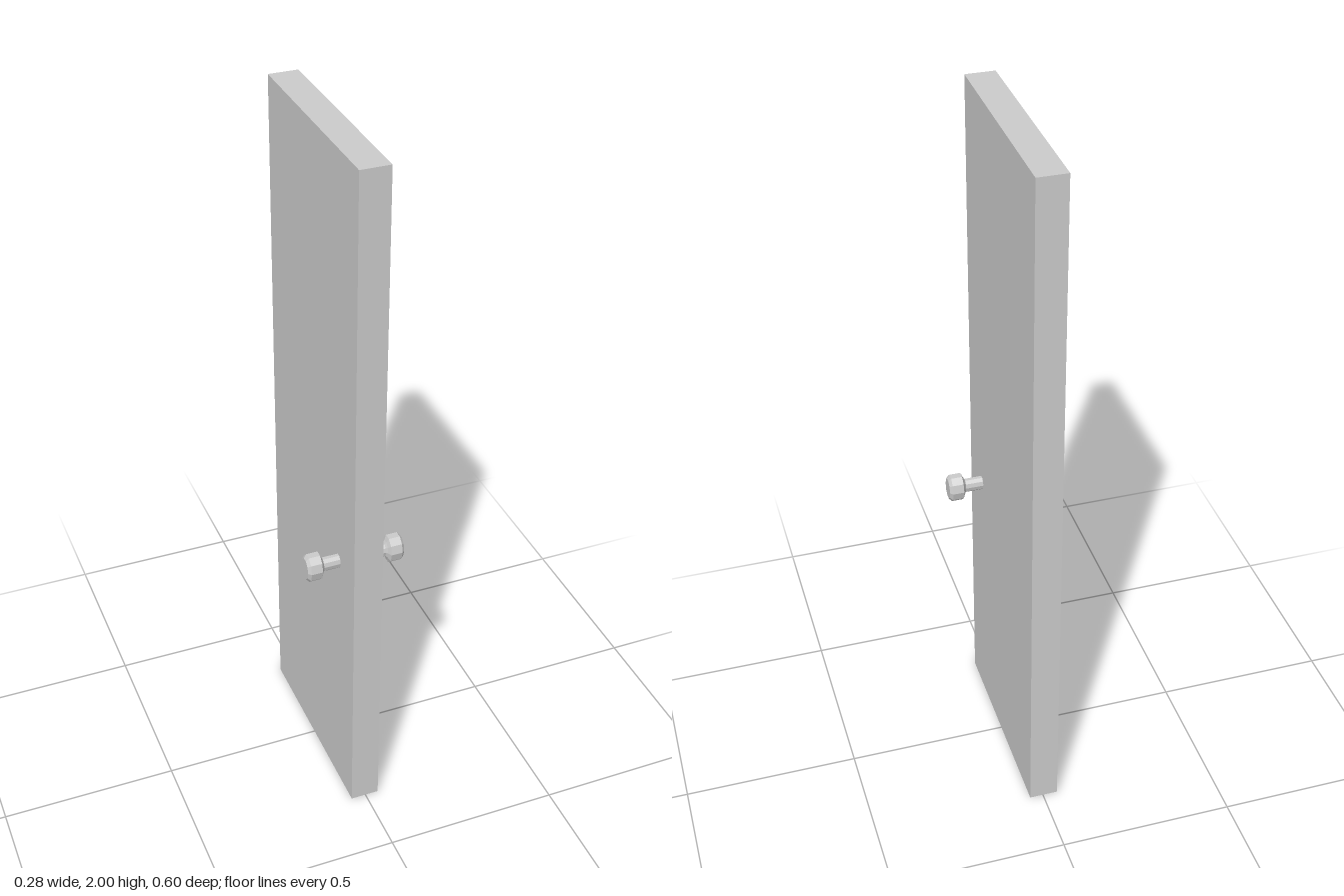
import * as THREE from 'three';

export function createModel() {
  const group = new THREE.Group();
  const material = new THREE.MeshStandardMaterial({
    color: 0xcccccc, flatShading: true, side: THREE.DoubleSide,
  });

  // Door panel: a thin box left open underneath
  const panelGeometry = new THREE.BoxGeometry(0.082, 2, 0.602);
  const index = Array.from(panelGeometry.index.array);
  index.splice(18, 6); // drop the bottom face
  panelGeometry.setIndex(index);
  panelGeometry.clearGroups();
  const panel = new THREE.Mesh(panelGeometry, material);
  panel.name = 'doorPanel';
  panel.position.set(-0.002, 1, 0);
  group.add(panel);

  // Knob with its stem: radius and distance from the panel's centre
  const profile = [
    [0.0165, 0.03], [0.0165, 0.09], [0.022, 0.094], [0.033, 0.1],
    [0.033, 0.132], [0.025, 0.14], [0, 0.14],
  ].map(([r, d]) => new THREE.Vector2(r, d));
  const knobGeometry = new THREE.LatheGeometry(profile, 10);
  knobGeometry.scale(1.27, 1, 1); // slightly oval, taller than wide

  // One knob on each side
  for (const side of [1, -1]) {
    const knob = new THREE.Mesh(knobGeometry, material);
    knob.name = side > 0 ? 'leftKnob' : 'rightKnob';
    knob.rotation.z = -side * Math.PI / 2;
    knob.position.set(0, 0.803, 0.188);
    group.add(knob);
  }
  return group;
}
